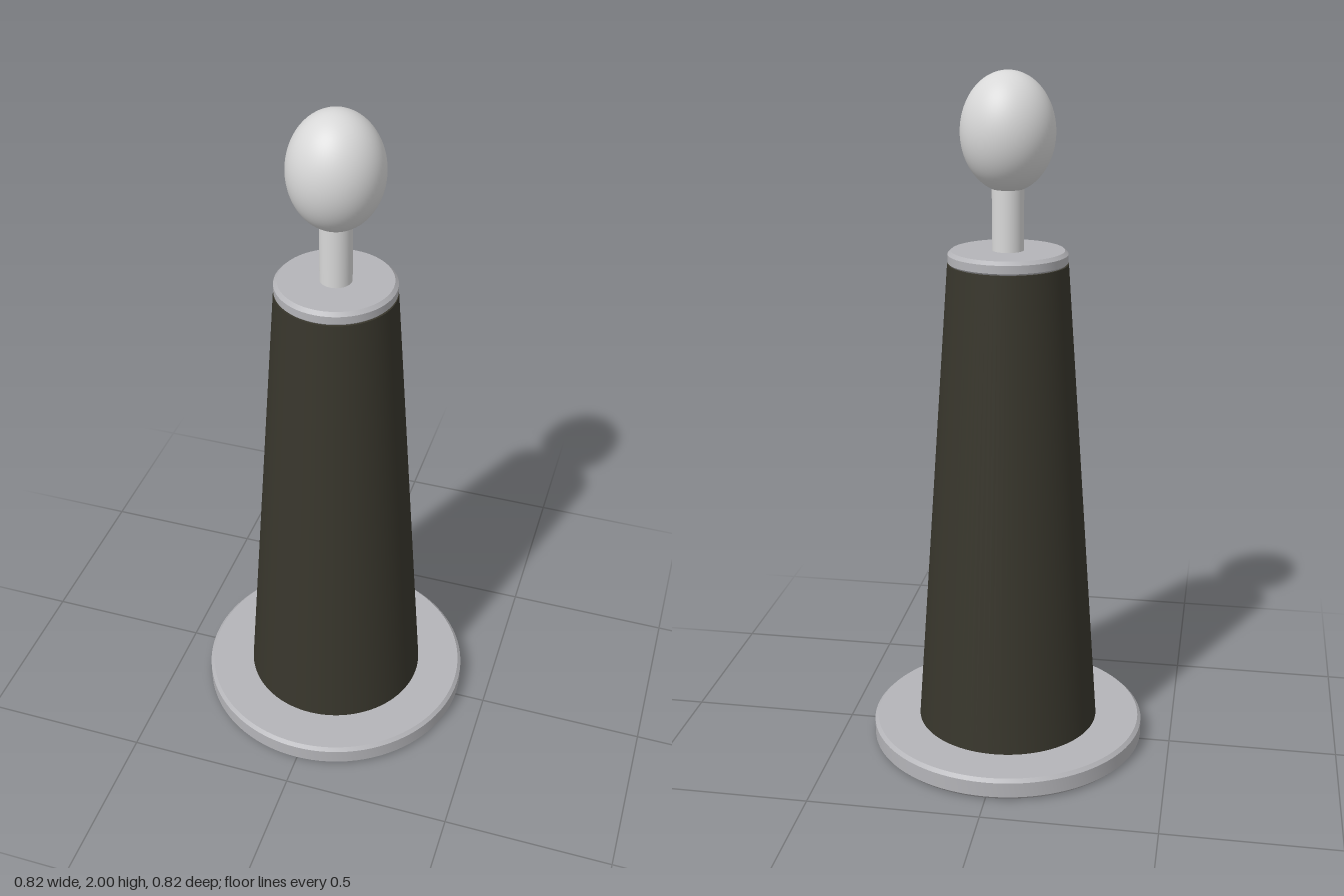
import * as THREE from 'three';
import { toCreasedNormals } from 'three/addons/utils/BufferGeometryUtils.js';

const SEGMENTS = 96;

export function createModel() {
  const model = new THREE.Group();
  model.name = 'handleWithKnob';

  const paint = (name, color) => {
    const material = new THREE.MeshStandardMaterial({ color });
    material.name = name;
    return material;
  };
  const metal = paint('grey metal', 0xb4b4b8);
  const polished = paint('pale metal', 0xd8d8d8);
  const rubber = paint('dark rubber', 0x38362c);

  const add = (name, geometry, material, y = 0) => {
    const mesh = new THREE.Mesh(geometry, material);
    mesh.name = name;
    mesh.position.y = y;
    model.add(mesh);
    return mesh;
  };

  // Round plate with chamfered rims
  const disc = (radius, bottom, top, bevel) => {
    const profile = [
      [0, bottom], [radius - bevel, bottom], [radius, bottom + bevel],
      [radius, top - bevel], [radius - bevel, top], [0, top],
    ].map(([x, y]) => new THREE.Vector2(x, y));
    return toCreasedNormals(new THREE.LatheGeometry(profile, SEGMENTS), 0.5);
  };

  // Base plate and top cap
  add('basePlate', disc(0.41, 0, 0.065, 0.01), metal);
  add('topCap', disc(0.17, 1.465, 1.508, 0.01), metal);

  // Tapered sleeve between the two plates
  add('sleeve', new THREE.CylinderGeometry(0.171, 0.271, 1.405, SEGMENTS), rubber, 0.065 + 1.405 / 2);

  // Stem and egg-shaped knob
  add('stem', new THREE.CylinderGeometry(0.045, 0.045, 0.22, 48), polished, 1.6);
  const knob = add('knob', new THREE.SphereGeometry(1, 64, 48), polished, 1.835);
  knob.scale.set(0.132, 0.165, 0.132);

  return model;
}
